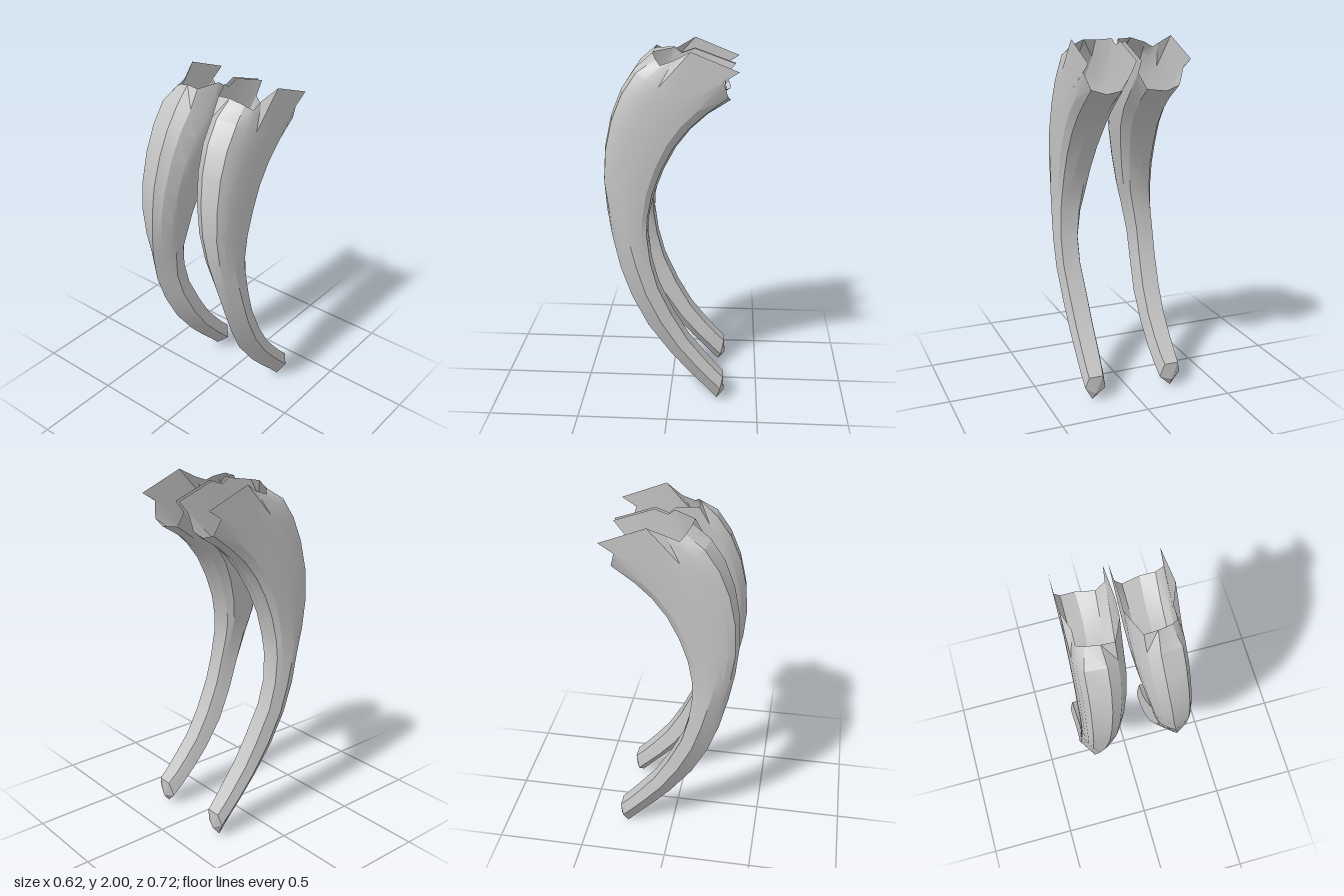
import * as THREE from 'three';
import { toCreasedNormals } from 'three/addons/utils/BufferGeometryUtils.js';

// Stations from tip to root: front z, y, back z, y, inner x, outer x
const STATIONS = [
  [-0.27, 0.0, -0.305, 0.15, 0.17, 0.292],
  [-0.2, 0.075, -0.255, 0.2, 0.16, 0.295],
  [-0.115, 0.16, -0.185, 0.28, 0.153, 0.296],
  [-0.01, 0.275, -0.1, 0.385, 0.15, 0.297],
  [0.12, 0.45, -0.015, 0.53, 0.15, 0.302],
  [0.21, 0.63, 0.065, 0.7, 0.16, 0.31],
  [0.272, 0.8, 0.105, 0.85, 0.16, 0.31],
  [0.318, 0.98, 0.122, 1.0, 0.135, 0.305],
  [0.347, 1.13, 0.115, 1.1, 0.11, 0.3],
  [0.363, 1.3, 0.085, 1.23, 0.09, 0.295],
  [0.356, 1.47, 0.035, 1.36, 0.065, 0.295],
  [0.322, 1.64, -0.03, 1.48, 0.04, 0.292],
  [0.267, 1.78, -0.11, 1.58, 0.025, 0.29],
  [0.19, 1.895, -0.2, 1.66, 0.018, 0.287],
];

// Cross-sections as [inner-to-outer, front-to-back] fractions
const ROOT_SECTION = [
  [0.42, 0], [0.84, 0.04], [0.94, 0.17], [0.98, 0.34], [1, 0.55],
  [0.99, 0.72], [0.97, 0.86], [0.85, 0.96], [0.55, 1], [0.22, 0.96],
  [0.03, 0.86], [0, 0.7], [0, 0.5], [0, 0.39], [0.03, 0.28], [0.2, 0.09],
];
const TIP_SECTION = [
  [0.6, 0], [0.74, 0.2], [0.87, 0.38], [1, 0.56], [0.97, 0.65],
  [0.93, 0.77], [0.89, 0.88], [0.85, 1], [0.5, 1], [0.18, 1],
  [0.12, 0.85], [0.06, 0.65], [0, 0.45], [0.1, 0.37], [0.2, 0.3], [0.4, 0.15],
];

// Broken edge of the open root: x, y, z for each section point
const RIM = [
  [0.14, 1.975, 0.098], [0.215, 1.95, 0.075], [0.252, 1.925, 0.05],
  [0.25, 1.95, -0.02], [0.286, 2.0, -0.11], [0.285, 1.9, -0.36],
  [0.283, 1.85, -0.28], [0.25, 1.76, -0.305], [0.17, 1.735, -0.318],
  [0.07, 1.745, -0.292], [0.02, 1.83, -0.285], [0.014, 1.9, -0.34],
  [0.012, 1.98, -0.12], [0.012, 1.955, -0.05], [0.018, 1.985, -0.01],
  [0.07, 1.97, 0.1],
];

const { lerp, smoothstep } = THREE.MathUtils;

function tuskGeometry(side) {
  const n = RIM.length;
  const positions = [];
  const indices = [];
  const triangle = (a, b, c) => indices.push(...(side > 0 ? [a, b, c] : [a, c, b]));

  STATIONS.forEach(([fz, fy, bz, by, xi, xo], i) => {
    const blend = smoothstep(i, 5.5, 9.5);
    for (let j = 0; j < n; j++) {
      const a = lerp(TIP_SECTION[j][0], ROOT_SECTION[j][0], blend);
      const s = lerp(TIP_SECTION[j][1], ROOT_SECTION[j][1], blend);
      positions.push(side * lerp(xi, xo, a), lerp(fy, by, s), lerp(fz, bz, s));
    }
  });
  for (const [x, y, z] of RIM) positions.push(side * x, y, z);

  // Wall
  for (let i = 0; i < STATIONS.length; i++) {
    for (let j = 0; j < n; j++) {
      const k = (j + 1) % n;
      const a = i * n + j, b = i * n + k, c = a + n, d = b + n;
      triangle(a, b, d);
      triangle(a, d, c);
    }
  }

  // Blunt closed tip
  const apex = positions.length / 3;
  positions.push(side * 0.235, 0.05, -0.31);
  for (let j = 0; j < n; j++) triangle(apex, (j + 1) % n, j);

  const geometry = new THREE.BufferGeometry();
  geometry.setAttribute('position', new THREE.Float32BufferAttribute(positions, 3));
  geometry.setIndex(indices);
  return toCreasedNormals(geometry, 0.35);
}

export function createModel() {
  const group = new THREE.Group();
  group.name = 'tusks';
  const grey = new THREE.MeshStandardMaterial({ color: 0xc4c4c4, side: THREE.DoubleSide });
  grey.name = 'grey';
  for (const [name, side] of [['leftTusk', 1], ['rightTusk', -1]]) {
    const tusk = new THREE.Mesh(tuskGeometry(side), grey);
    tusk.name = name;
    group.add(tusk);
  }
  return group;
}
